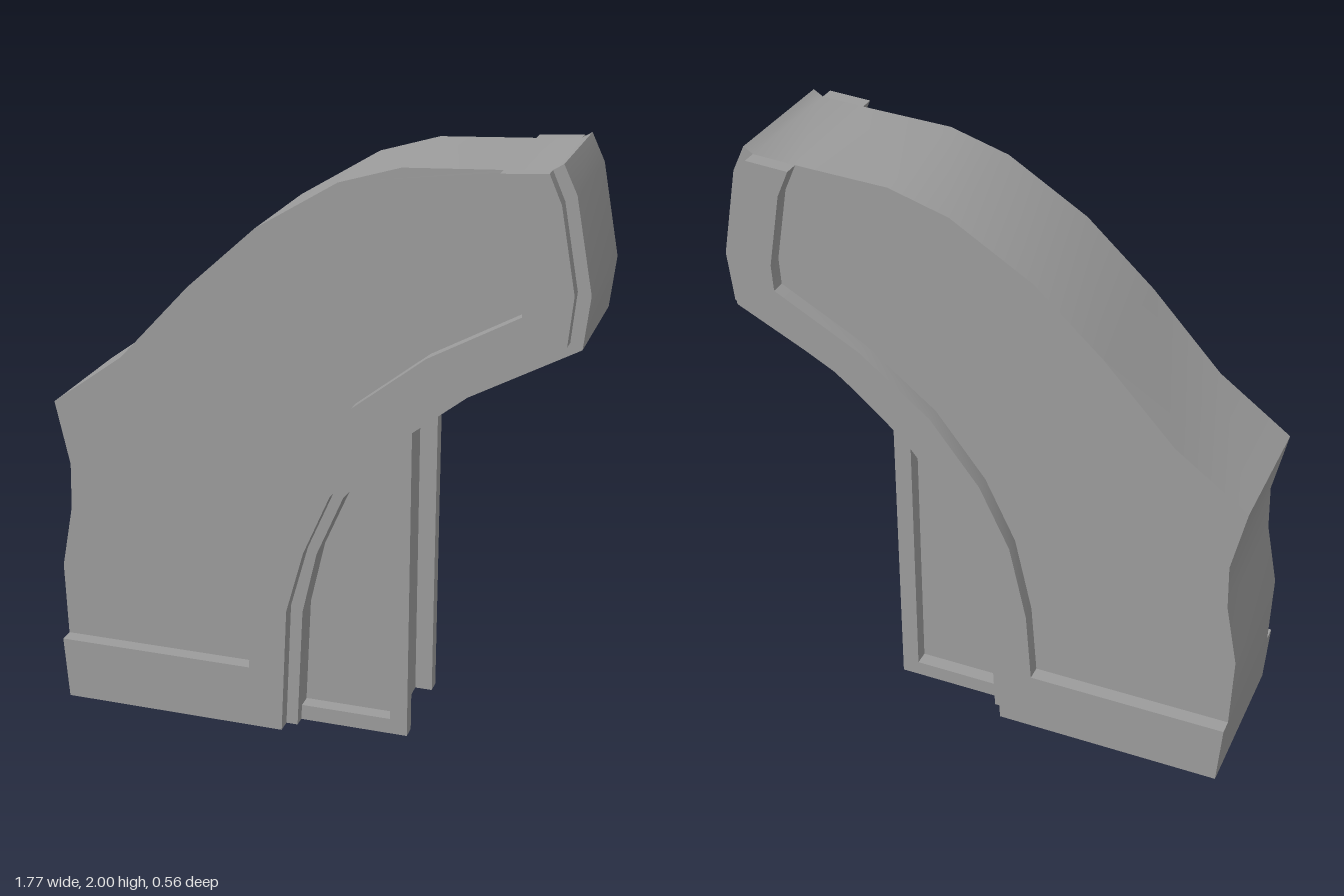
import * as THREE from 'three';
import { toCreasedNormals } from 'three/addons/utils/BufferGeometryUtils.js';

const material = new THREE.MeshStandardMaterial({ color: 0x9c9c9c });

// Side outline extruded between two depths
function slab(name, points, z0, z1) {
  const shape = new THREE.Shape(points.map(([x, y]) => new THREE.Vector2(x, y)));
  const geometry = new THREE.ExtrudeGeometry(shape, { depth: z1 - z0, bevelEnabled: false });
  geometry.translate(0, 0, z0);
  const mesh = new THREE.Mesh(toCreasedNormals(geometry, 0.55), material);
  mesh.name = name;
  return mesh;
}

// The same slab on the front and the back
function slabPair(name, points, z0, z1) {
  const pair = new THREE.Group();
  pair.name = name;
  pair.add(slab(name + 'Front', points, z0, z1), slab(name + 'Back', points, -z1, -z0));
  return pair;
}

export function createModel() {
  const model = new THREE.Group();
  model.name = 'curvedBracket';

  // Underside arc of the body, from the foot up to the tip
  const underside = [
    [-0.04, 0], [-0.02, 0.43], [0.03, 0.65], [0.12, 0.86],
    [0.28, 1.06], [0.52, 1.25], [0.868, 1.44],
  ];

  // Main curved body
  model.add(slab('body', [
    [-0.865, 0], ...underside,
    [0.887, 1.61], [0.83, 1.91], [0.787, 2], [0.755, 1.98],
    [0.61, 1.97], [0.3, 1.955], [0.1, 1.895], [-0.17, 1.73],
    [-0.4, 1.52], [-0.64, 1.26], [-0.887, 1.08], [-0.84, 0.86],
    [-0.845, 0.7], [-0.887, 0.48], [-0.88, 0.22],
  ], -0.23, 0.23));

  // Raised border along the foot, the arc and the tip
  model.add(slabPair('border', [
    [-0.88, 0.22], [-0.865, 0], [-0.08, 0], [-0.06, 0.45], [0, 0.67],
    [0.09, 0.88], [0.25, 1.08], [0.49, 1.29], [0.83, 1.46],
    [0.845, 1.62], [0.795, 1.89], [0.755, 1.98], [0.61, 1.97],
    [0.65, 1.88], [0.695, 1.63], [0.69, 1.54], [0.4, 1.38],
    [0.16, 1.19], [-0.01, 0.97], [-0.115, 0.75], [-0.175, 0.48], [-0.195, 0.22],
  ], 0.23, 0.28));

  // Web filling the space under the arc
  model.add(slab('web', [
    ...underside.slice(0, 4).reverse(), [0.275, 0], [0.275, 1.055],
  ], -0.14, 0.14));

  // Raised edge strips of the web, along the bottom and the upright
  model.add(slabPair('webFrame', [
    [-0.04, 0], [0.335, 0], [0.335, 1.1], [0.275, 1.055], [0.275, 0.055], [-0.037, 0.055],
  ], 0.14, 0.19));

  return model;
}
